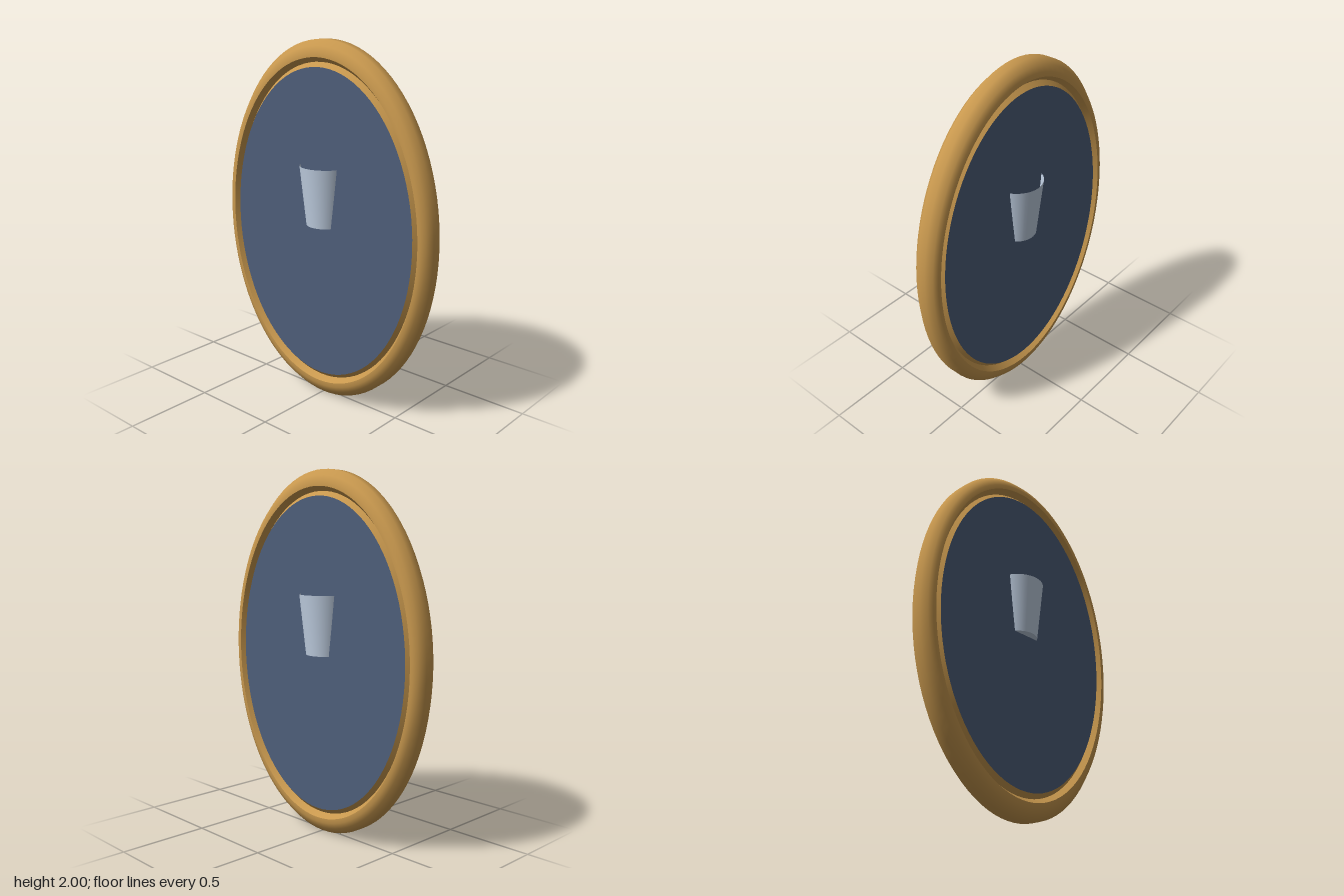
import * as THREE from 'three';

const ASPECT = 0.725; // oval width relative to height
const SEGMENTS = 96;

function material(name, color, side = THREE.FrontSide) {
  const m = new THREE.MeshStandardMaterial({ color, side });
  m.name = name;
  return m;
}

export function createModel() {
  const gold = material('gold', 0xc8984e);
  const glass = material('blue glass', 0x4e5e7a);
  const silver = material('pale silver', 0xc0cfe2, THREE.DoubleSide);

  const model = new THREE.Group();
  model.name = 'ovalMirror';
  const oval = new THREE.Group();
  oval.name = 'mirror';
  oval.position.y = 1;
  model.add(oval);

  const add = (parent, name, geometry, mat) => {
    const mesh = new THREE.Mesh(geometry, mat);
    mesh.name = name;
    parent.add(mesh);
    return mesh;
  };

  // Sweep a [radius, depth] profile around the oval
  const ovalSweep = (profile) =>
    new THREE.LatheGeometry(profile.map(([r, z]) => new THREE.Vector2(r, z)), SEGMENTS)
      .rotateX(Math.PI / 2)
      .scale(ASPECT, 1, 1);

  // Rounded outer frame
  add(oval, 'frame', ovalSweep([
    [0.91, -0.072], [0.935, -0.071], [0.967, -0.058], [1, -0.025],
    [1, 0.025], [0.967, 0.058], [0.935, 0.071], [0.91, 0.072],
  ]), gold);

  // Groove wall, bevelled lip and glass on both faces
  for (const side of ['front', 'back']) {
    const face = new THREE.Group();
    face.name = side + 'Face';
    if (side === 'front') face.rotation.y = Math.PI;
    oval.add(face);
    add(face, 'grooveWall', ovalSweep([[0.885, 0.04], [0.91, 0.072]].reverse()), gold);
    add(face, 'lip', ovalSweep([[0.885, 0.04], [0.86, 0.064]]), gold);
    add(face, 'glass', new THREE.CircleGeometry(0.86, SEGMENTS)
      .scale(ASPECT, 1, 1).translate(0, 0, 0.064), glass);
  }

  // Open tapered cup set through the middle of the glass
  const cup = new THREE.Group();
  cup.name = 'cup';
  model.add(cup);
  const wall = new THREE.CylinderGeometry(0.145, 0.109, 0.33, 48, 1, true);
  add(cup, 'cupWall', wall, silver).position.y = 1.17;
  const floor = new THREE.CircleGeometry(0.109, 48).rotateX(-Math.PI / 2);
  add(cup, 'cupFloor', floor, silver).position.y = 1.005;

  return model;
}
